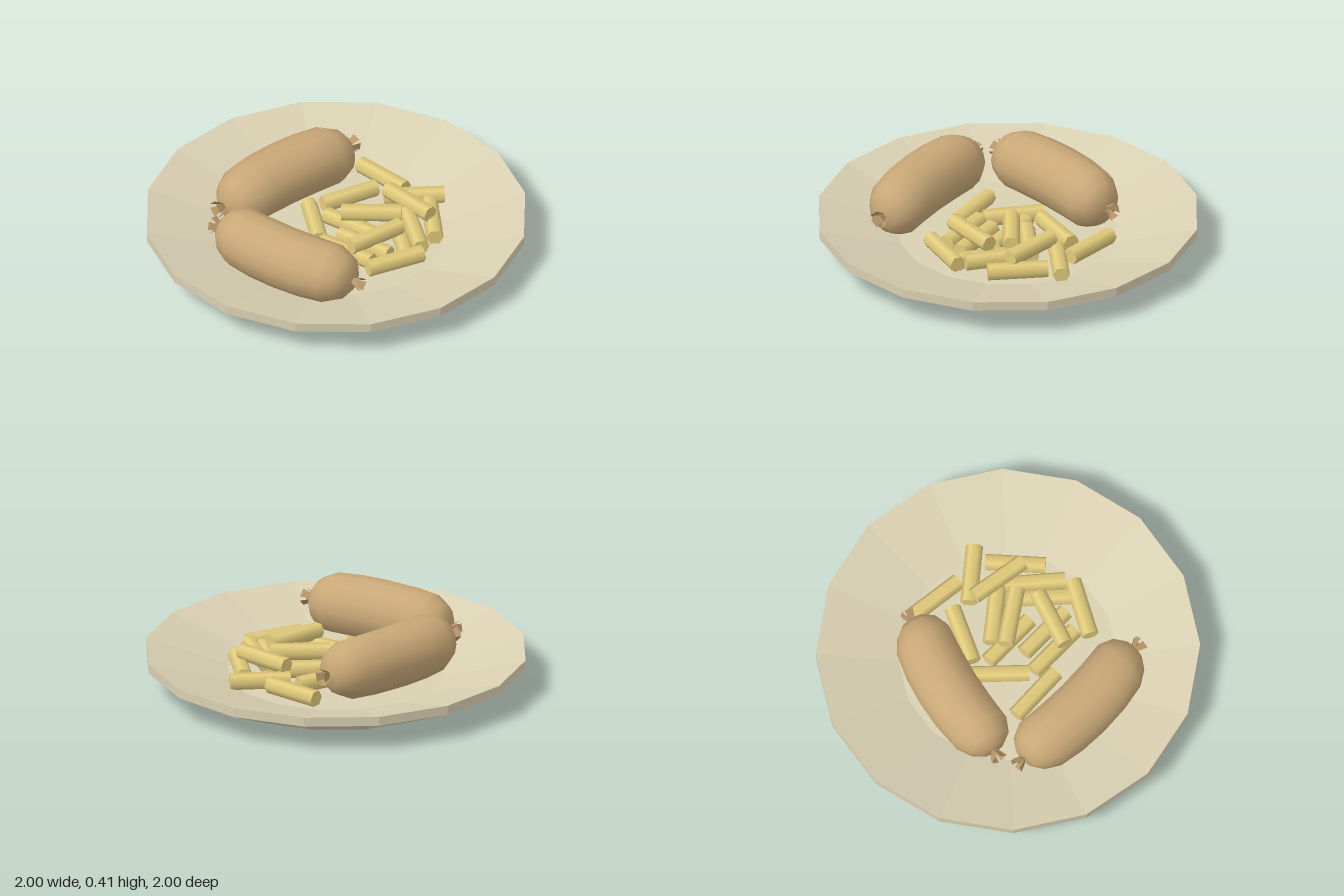
import * as THREE from 'three';

const plateMat = new THREE.MeshStandardMaterial({ color: 0xd9d0b2, flatShading: true });
const sausageMat = new THREE.MeshStandardMaterial({ color: 0xc9a877 });
const skinMat = new THREE.MeshStandardMaterial({ color: 0xb8976a, side: THREE.DoubleSide });
const friesMat = new THREE.MeshStandardMaterial({ color: 0xe3cc7c });

function add(parent, name, geometry, material) {
  const mesh = new THREE.Mesh(geometry, material);
  mesh.name = name;
  parent.add(mesh);
  return mesh;
}

const points = (list) => list.map(([x, y]) => new THREE.Vector2(x, y));

// Shallow 16-sided dish: underside, upright rim, sloped inside, flat floor
function makePlate() {
  const profile = points([[0, 0], [0.68, 0], [1, 0.14], [1, 0.19], [0.57, 0.07], [0, 0.07]]);
  return new THREE.LatheGeometry(profile, 16);
}

// Sideways bow of a sausage at distance s from its middle
const bow = (s) => 0.027 * (1 - (s / 0.3) ** 2);

// Rounded body along x, bowed towards +z
function makeSausageBody() {
  const half = [[0.165, 0], [0.164, 0.15], [0.158, 0.29], [0.118, 0.37], [0.065, 0.41], [0, 0.415]];
  const lower = half.slice(1).reverse().map(([r, s]) => [r, -s]);
  const geometry = new THREE.LatheGeometry(points([...lower, ...half]), 14);
  geometry.rotateZ(-Math.PI / 2);
  const p = geometry.attributes.position;
  for (let i = 0; i < p.count; i++) p.setZ(i, p.getZ(i) + bow(Math.min(Math.abs(p.getX(i)), 0.33)));
  return geometry;
}

// Thin flap of skin, narrow at the knot and flared at its free end
function makeFlap() {
  const geometry = new THREE.PlaneGeometry(0.05, 0.075, 1, 2);
  geometry.translate(0, 0.0375, 0);
  const p = geometry.attributes.position;
  for (let i = 0; i < p.count; i++) {
    const t = p.getY(i) / 0.075;
    p.setX(i, p.getX(i) * (0.4 + 0.6 * t));
    p.setZ(i, 0.018 * t * t);
  }
  geometry.computeVertexNormals();
  return geometry;
}

function makeSausage(name, x, y, z, angle) {
  const sausage = new THREE.Group();
  sausage.name = name;
  add(sausage, 'sausageBody', makeSausageBody(), sausageMat);
  for (const side of [-1, 1]) {
    const knot = new THREE.Group();
    knot.name = 'skinKnot';
    knot.position.set(side * 0.405, 0, -0.006);
    if (side < 0) knot.rotation.y = Math.PI;
    // Each flap leans outwards from the end of the sausage
    for (let i = 0; i < 4; i++) {
      const spoke = new THREE.Group();
      spoke.rotation.x = i * Math.PI / 2 + 0.5 + side * 0.3;
      knot.add(spoke);
      const flap = add(spoke, 'skinFlap', makeFlap(), skinMat);
      flap.rotation.set(0, Math.PI / 2, -0.75 - 0.15 * (i % 2), 'ZYX');
    }
    sausage.add(knot);
  }
  sausage.position.set(x, y, z);
  sausage.rotation.y = angle;
  return sausage;
}

// Fries: x, z, angle in degrees turning from +x to +z, height of the centre
const FRIES = [
  [-0.04, -0.485, 8, 0.12], [0.19, -0.44, -38, 0.12], [0.39, -0.315, 50, 0.12],
  [0.25, -0.305, 10, 0.185], [-0.085, -0.245, -63, 0.12], [0.11, -0.2, -37, 0.12],
  [0.145, -0.115, -33, 0.185], [0.38, -0.165, 42, 0.14], [0.06, -0.05, 0, 0.11],
  [-0.11, 0.04, 45, 0.115], [0.22, 0.055, 0, 0.115], [0.28, 0.045, -70, 0.185],
  [0.445, 0.105, -60, 0.13], [0.18, 0.16, 0, 0.115], [-0.06, 0.255, -2, 0.115],
  [0.35, -0.09, 44, 0.11],
];

export function createModel() {
  const model = new THREE.Group();
  model.name = 'plateOfSausagesAndFries';

  add(model, 'plate', makePlate(), plateMat);

  model.add(makeSausage('frontSausage', 0.025, 0.225, 0.49, 0));
  model.add(makeSausage('sideSausage', -0.362, 0.245, -0.058, -1.85));

  const fries = new THREE.Group();
  fries.name = 'fries';
  const fryShape = new THREE.CylinderGeometry(0.045, 0.045, 0.315, 6);
  fryShape.rotateZ(Math.PI / 2);
  for (const [x, z, degrees, y] of FRIES) {
    const fry = add(fries, 'fry', fryShape, friesMat);
    fry.position.set(x, y, z);
    fry.rotation.y = -THREE.MathUtils.degToRad(degrees);
  }
  model.add(fries);

  return model;
}
